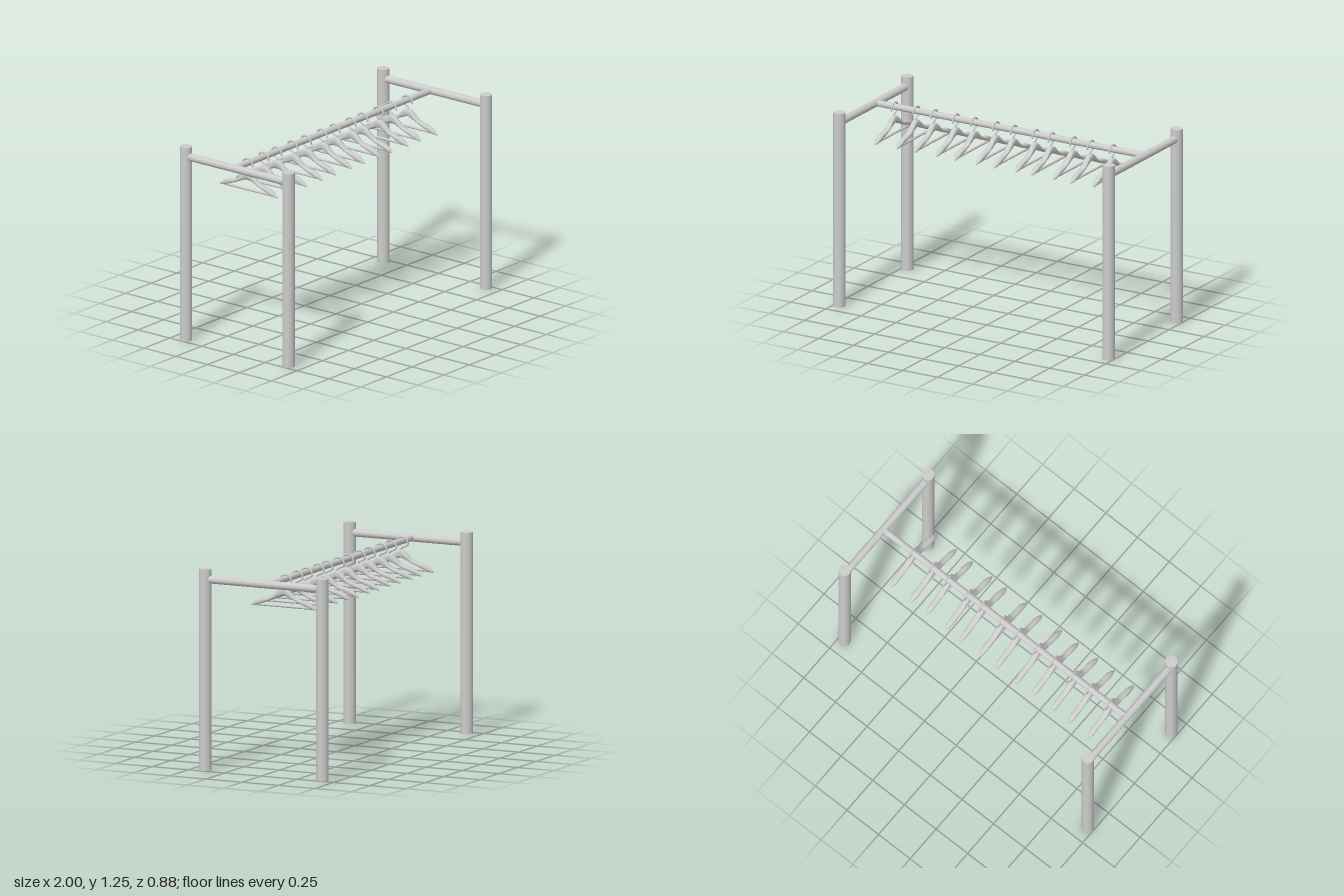
import * as THREE from 'three';

const material = new THREE.MeshStandardMaterial({ color: 0xcccccc });

function addMesh(parent, name, geometry, x = 0, y = 0, z = 0) {
  const mesh = new THREE.Mesh(geometry, material);
  mesh.name = name;
  mesh.position.set(x, y, z);
  parent.add(mesh);
  return mesh;
}

// One hanger arm, lofted along +z from rounded cross-sections
function armGeometry() {
  // distance from centre, top, bottom, half width
  const stations = [
    [0, 1.132, 1.083, 0.0185], [0.012, 1.131, 1.080, 0.0185], [0.024, 1.125, 1.075, 0.0185],
    [0.04, 1.112, 1.069, 0.0185], [0.056, 1.096, 1.062, 0.0185], [0.075, 1.079, 1.054, 0.0185],
    [0.09, 1.069, 1.047, 0.0185], [0.122, 1.061, 1.034, 0.0185], [0.156, 1.055, 1.022, 0.0185],
    [0.185, 1.043, 1.012, 0.0175], [0.205, 1.029, 1.006, 0.012], [0.218, 1.018, 1.004, 0.007],
    [0.226, 1.010, 1.004, 0.003], [0.227, 1.007, 1.007, 0],
  ];
  const sides = 20, points = [], index = [];
  const soften = (v) => Math.sign(v) * Math.abs(v) ** 0.75;
  stations.forEach(([d, top, bottom, w], i) => {
    for (let j = 0; j < sides; j++) {
      const a = (j / sides) * Math.PI * 2;
      points.push(w * soften(Math.cos(a)), (top + bottom) / 2 + ((top - bottom) / 2) * soften(Math.sin(a)), d);
      if (i === stations.length - 1) continue;
      const p = i * sides + j, q = i * sides + ((j + 1) % sides);
      index.push(p, q, p + sides, q, q + sides, p + sides);
    }
  });
  const geometry = new THREE.BufferGeometry();
  geometry.setAttribute('position', new THREE.Float32BufferAttribute(points, 3));
  geometry.setIndex(index);
  geometry.computeVertexNormals();
  return geometry;
}

// Wire hook: short stem that swings back, then loops over the rail
function hookGeometry() {
  const points = [[1.115, 0], [1.136, 0], [1.146, -0.012], [1.155, -0.032]]
    .map(([y, z]) => new THREE.Vector3(0, y, z));
  for (let deg = 190; deg >= -5; deg -= 15) {
    const a = THREE.MathUtils.degToRad(deg);
    points.push(new THREE.Vector3(0, 1.173 + 0.039 * Math.sin(a), -0.009 + 0.039 * Math.cos(a)));
  }
  return new THREE.TubeGeometry(new THREE.CatmullRomCurve3(points), 48, 0.006, 10);
}

export function createModel() {
  const model = new THREE.Group();
  model.name = 'clothesRack';

  // Four posts and the two side rails joining them
  const post = new THREE.CylinderGeometry(0.038, 0.038, 1.25, 32);
  const sideRail = new THREE.CylinderGeometry(0.024, 0.024, 0.76, 32).rotateX(Math.PI / 2);
  for (const x of [-0.962, 0.962]) {
    for (const z of [-0.403, 0.403]) addMesh(model, 'post', post, x, 0.625, z);
    addMesh(model, 'sideRail', sideRail, x, 1.185, 0);
  }

  // Long hanging rail, set slightly behind the centre
  const rail = new THREE.CylinderGeometry(0.02, 0.02, 1.9, 32).rotateZ(Math.PI / 2);
  addMesh(model, 'hangingRail', rail, 0, 1.185, -0.028);

  // Hangers, in pairs along the rail
  const arm = armGeometry();
  const hook = hookGeometry();
  const wireEnd = new THREE.SphereGeometry(0.006, 10, 8);
  const bar = new THREE.CylinderGeometry(0.008, 0.008, 0.41, 16).rotateX(Math.PI / 2);
  for (const start of [-0.826, -0.543, -0.257, 0.024, 0.294, 0.575]) {
    for (const x of [start, start + 0.155]) {
      const hanger = new THREE.Group();
      hanger.name = 'hanger';
      hanger.position.set(x, 0, -0.02);
      addMesh(hanger, 'frontArm', arm);
      addMesh(hanger, 'backArm', arm).rotation.y = Math.PI;
      addMesh(hanger, 'trouserBar', bar, 0, 1.015, 0);
      addMesh(hanger, 'hook', hook);
      addMesh(hanger, 'hookTip', wireEnd, 0, 1.1696, 0.0299);
      model.add(hanger);
    }
  }
  return model;
}
